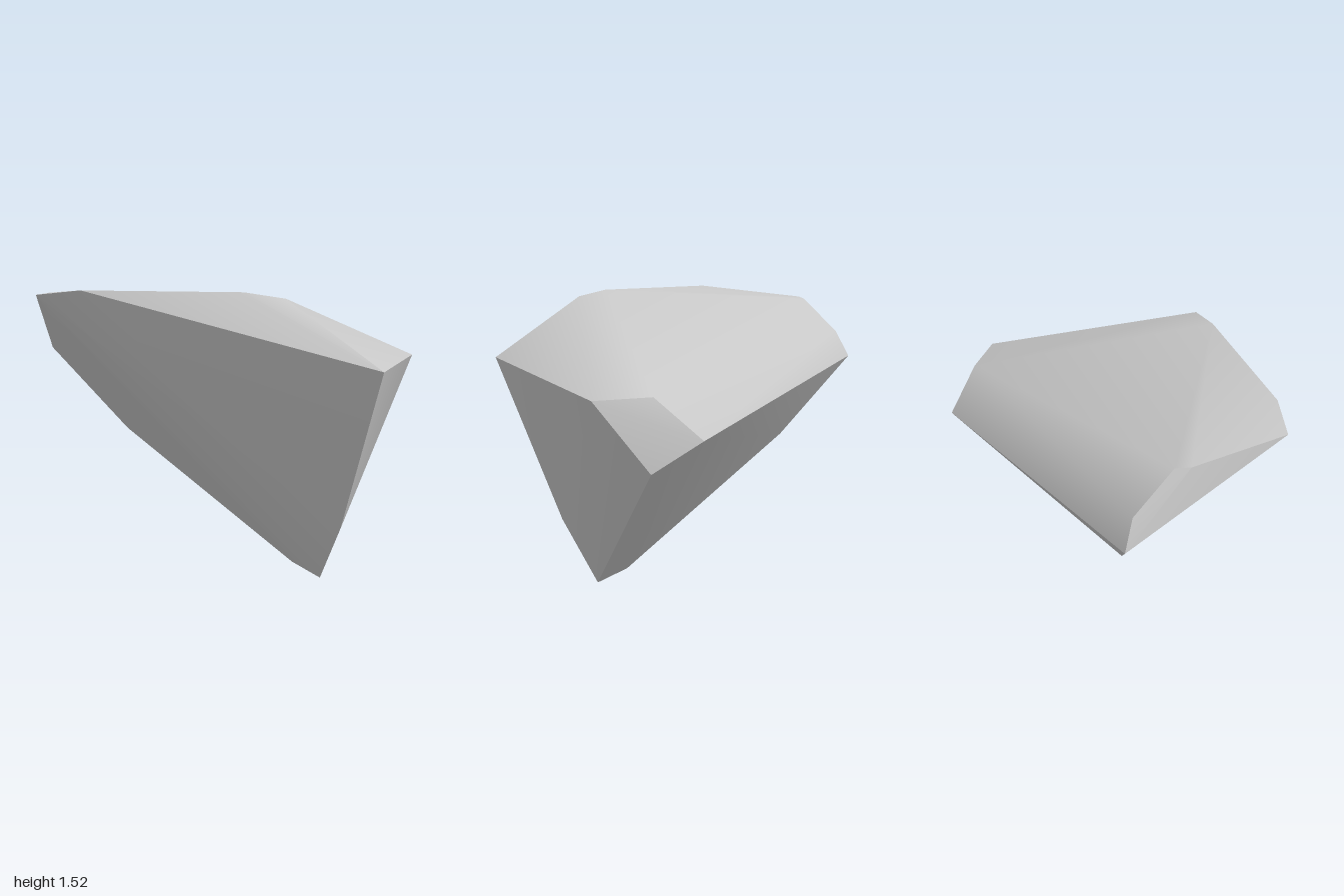
import * as THREE from 'three';
import { ConvexGeometry } from 'three/addons/geometries/ConvexGeometry.js';
import { toCreasedNormals } from 'three/addons/utils/BufferGeometryUtils.js';

export function createModel() {
  const stone = new THREE.MeshStandardMaterial({ color: 0xc8c8c8 });
  stone.name = 'pale stone grey';

  // Corners of the chipped boulder, grouped by region
  const corners = [
    // flat crown and its left rim
    [-0.92, 1.49, -0.48], [-0.85, 1.517, -0.26], [-0.46, 1.513, 0.385], [-0.35, 1.484, 0.543],
    // front brow
    [-0.25, 1.175, 1.0], [0.83, 1.09, 0.63],
    // chipped right end
    [0.84, 1.10, 0.36], [0.915, 0.91, 0.15], [0.91, 0.77, 0.385],
    // back tip and its bevel
    [-0.32, 1.13, -1.0], [-0.335, 1.27, -0.925], [-0.48, 1.45, -0.78], [-0.55, 1.46, -0.77],
    // tapered underside
    [-0.21, 0.71, -0.56], [0.03, 0.06, 0.36], [0.05, 0, 0.52], [-0.05, 0.33, 0.69],
  ].map((p) => new THREE.Vector3(...p));

  // Convex rock, soft across shallow edges and sharp across steep ones
  const geometry = toCreasedNormals(new ConvexGeometry(corners), THREE.MathUtils.degToRad(36));
  const rock = new THREE.Mesh(geometry, stone);
  rock.name = 'rock';

  const model = new THREE.Group();
  model.name = 'boulder';
  model.add(rock);
  return model;
}
